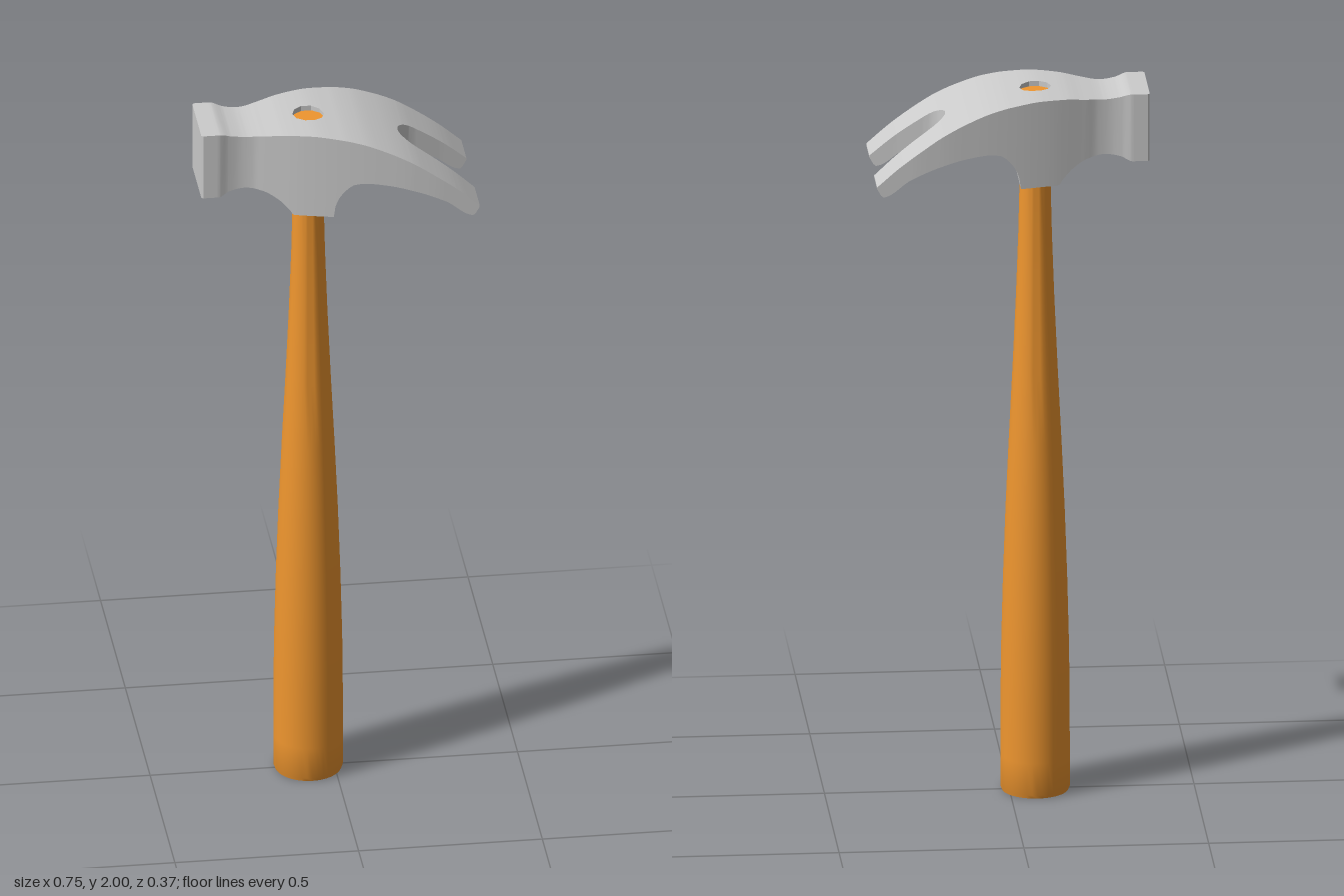
import * as THREE from 'three';
import { toCreasedNormals } from 'three/addons/utils/BufferGeometryUtils.js';

const CX = -0.07; // handle axis
const R = 0.043;  // socket radius

// Side profile of the head (x, y) and its plan half-width (x, z)
const TOP = [[-0.373, 2], [-0.325, 2], [-0.29, 1.99], [-0.25, 1.985], [-0.2, 1.99], [-0.14, 1.998], [-0.08, 2],
  [0, 1.992], [0.06, 1.979], [0.125, 1.955], [0.19, 1.923], [0.245, 1.887], [0.31, 1.839], [0.372, 1.785]];
const BOTTOM = [[-0.373, 1.81], [-0.325, 1.81], [-0.295, 1.823], [-0.25, 1.83], [-0.205, 1.822], [-0.165, 1.8],
  [-0.135, 1.77], [-0.125, 1.757], [-0.02, 1.757], [-0.016, 1.787], [-0.005, 1.815], [0.013, 1.839], [0.035, 1.856],
  [0.065, 1.861], [0.125, 1.855], [0.2, 1.836], [0.28, 1.803], [0.355, 1.756], [0.372, 1.78]];
const WIDTH = [[-0.373, 0.091], [-0.368, 0.095], [-0.328, 0.095], [-0.3, 0.088], [-0.268, 0.085], [-0.235, 0.088],
  [-0.2, 0.099], [-0.1, 0.13], [0, 0.153], [0.1, 0.17], [0.2, 0.182], [0.28, 0.186], [0.372, 0.186]];
// Half-width of the opening in the middle: ten-sided handle socket, then claw slot
const GAP = [];
for (let k = 5; k >= 0; k--) {
  const a = k * Math.PI / 5;
  GAP.push([CX + R * Math.cos(a), k % 5 ? R * Math.sin(a) : 0]);
}
GAP.push([0.173, 0], [0.175, 0.015], [0.18, 0.027], [0.19, 0.041], [0.2, 0.05], [0.211, 0.056], [0.225, 0.06],
  [0.3, 0.073], [0.372, 0.083]);

// Interpolation through a table: straight, or smooth without overshoot
function sample(table, x, smooth) {
  const n = table.length;
  if (x <= table[0][0]) return table[0][1];
  if (x >= table[n - 1][0]) return table[n - 1][1];
  let i = 0;
  while (table[i + 1][0] < x) i++;
  const secant = (k) => (table[k + 1][1] - table[k][1]) / (table[k + 1][0] - table[k][0]);
  const slope = (k) => {
    if (k === 0) return secant(0);
    if (k === n - 1) return secant(n - 2);
    const a = secant(k - 1), b = secant(k);
    return a * b > 0 ? 2 * a * b / (a + b) : 0;
  };
  const h = table[i + 1][0] - table[i][0], t = (x - table[i][0]) / h;
  const y0 = table[i][1], y1 = table[i + 1][1];
  if (!smooth) return y0 + (y1 - y0) * t;
  const s = t * t * (3 - 2 * t);
  return y0 + (y1 - y0) * s + h * (t * (1 - t) ** 2 * slope(i) - t * t * (1 - t) * slope(i + 1));
}

// Head: rectangular sections swept along x, mirrored in z
function headGeometry() {
  const xs = [TOP, BOTTOM, WIDTH, GAP].flatMap((t) => t.map((p) => p[0]));
  for (let i = 1; i < 70; i++) xs.push(-0.373 + 0.745 * i / 70);
  xs.sort((a, b) => a - b);
  const stations = xs.filter((x, i) => i === 0 || x - xs[i - 1] > 1e-6).map((x) => ({
    x, t: sample(TOP, x, true), b: sample(BOTTOM, x, true), o: sample(WIDTH, x, true), g: sample(GAP, x, false),
  }));

  const pos = [];
  const quad = (a, b, c, d) => {
    for (const p of [a, b, c, a, c, d]) pos.push(...p);
    for (const p of [d, c, b, d, b, a]) pos.push(p[0], p[1], -p[2]);
  };
  const P = (s, y, z) => [s.x, s[y], s[z]];
  for (let i = 0; i < stations.length - 1; i++) {
    const s = stations[i], e = stations[i + 1];
    quad(P(s, 't', 'g'), P(s, 't', 'o'), P(e, 't', 'o'), P(e, 't', 'g'));
    quad(P(e, 'b', 'g'), P(e, 'b', 'o'), P(s, 'b', 'o'), P(s, 'b', 'g'));
    quad(P(s, 'b', 'o'), P(e, 'b', 'o'), P(e, 't', 'o'), P(s, 't', 'o'));
    if (s.g > 0 || e.g > 0) quad(P(s, 't', 'g'), P(e, 't', 'g'), P(e, 'b', 'g'), P(s, 'b', 'g'));
  }
  const s = stations[0], e = stations[stations.length - 1];
  quad(P(s, 'b', 'g'), P(s, 'b', 'o'), P(s, 't', 'o'), P(s, 't', 'g'));
  quad(P(e, 't', 'g'), P(e, 't', 'o'), P(e, 'b', 'o'), P(e, 'b', 'g'));

  const geo = new THREE.BufferGeometry();
  geo.setAttribute('position', new THREE.Float32BufferAttribute(pos, 3));
  return toCreasedNormals(geo, 0.5);
}

export function createModel() {
  const group = new THREE.Group();
  const steel = new THREE.MeshStandardMaterial({ color: 0xcccccc });
  const wood = new THREE.MeshStandardMaterial({ color: 0xef962f });
  const add = (name, geo, mat, x = 0, y = 0, z = 0) => {
    const mesh = new THREE.Mesh(geo, mat);
    mesh.name = name;
    mesh.position.set(x, y, z);
    group.add(mesh);
    return mesh;
  };

  add('clawHead', headGeometry(), steel);

  // Tapered handle
  const profile = [[0, 0], [0.09, 0], [0.094, 0.01], [0.094, 0.1], [0.0935, 0.25], [0.092, 0.4], [0.087, 0.6],
    [0.08, 0.8], [0.071, 1], [0.061, 1.2], [0.052, 1.4], [0.0455, 1.58], [0.041, 1.77]];
  const handle = new THREE.LatheGeometry(profile.map(([r, y]) => new THREE.Vector2(r, y)), 40);
  add('handle', toCreasedNormals(handle, 0.6), wood, CX);

  // End of the handle inside the socket, slightly below the rim
  const plug = new THREE.CylinderGeometry(R, R, 0.23, 10);
  plug.rotateY(Math.PI / 2);
  add('handleTop', plug, wood, CX, 1.87);

  // Small half-round stud under the claw, beside the handle
  const stud = new THREE.CylinderGeometry(0.04, 0.04, 0.02, 16, 1, false, 0, Math.PI);
  stud.rotateZ(Math.PI / 2);
  stud.scale(1, 0.6, 1);
  const studMat = new THREE.MeshStandardMaterial({ color: 0xcccccc, side: THREE.DoubleSide });
  add('stud', stud, studMat, -0.011, 1.798);

  return group;
}
